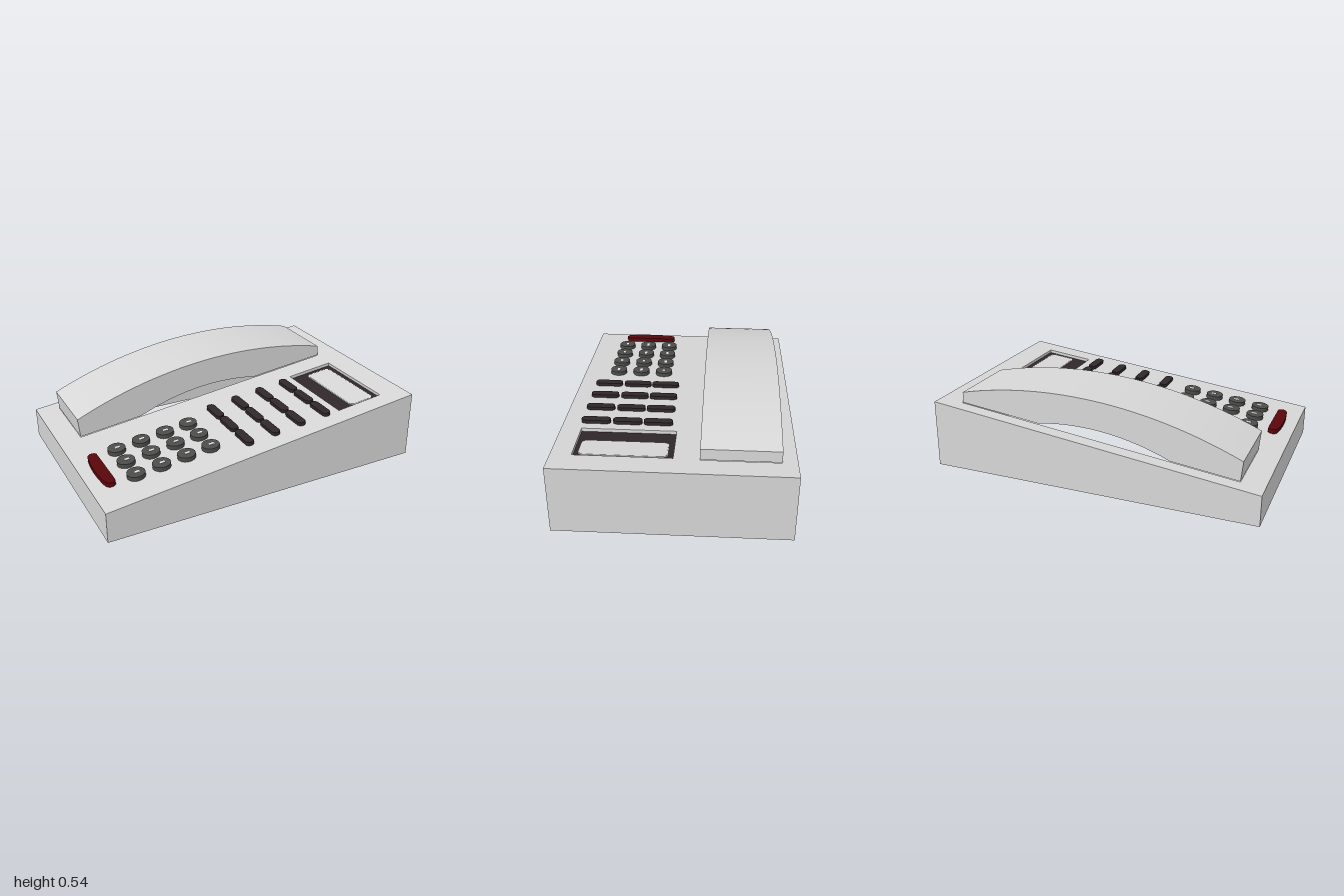
import * as THREE from 'three';
import { toCreasedNormals } from 'three/addons/utils/BufferGeometryUtils.js';

const mat = (name, color, side = THREE.FrontSide) => {
  const m = new THREE.MeshStandardMaterial({ color, side });
  m.name = name;
  return m;
};

// height of the sloping top surface
const SLOPE = 0.1165;
const surface = (x) => 0.2995 + SLOPE * x;

// rounded rectangle centred on the origin
function roundedRect(w, d, r) {
  const x = w / 2, y = d / 2, s = new THREE.Shape();
  s.absarc(x - r, y - r, r, 0, Math.PI / 2);
  s.absarc(-x + r, y - r, r, Math.PI / 2, Math.PI);
  s.absarc(-x + r, -y + r, r, Math.PI, Math.PI * 1.5);
  s.absarc(x - r, -y + r, r, Math.PI * 1.5, Math.PI * 2);
  s.closePath();
  return s;
}

// outline drawn in plan, raised from y = bottom to y = top
function raised(shape, bottom, top) {
  const g = new THREE.ExtrudeGeometry(shape, { depth: top - bottom, bevelEnabled: false, curveSegments: 10 });
  g.rotateX(-Math.PI / 2).translate(0, bottom, 0);
  return toCreasedNormals(g, 0.6);
}

// four upright walls, open above and below
function openBox(w, h, d) {
  const g = new THREE.CylinderGeometry(Math.SQRT1_2, Math.SQRT1_2, 1, 4, 1, true);
  return g.rotateY(Math.PI / 4).scale(w, h, d).toNonIndexed();
}

// corners of a plan rectangle
const corners = (x0, x1, z0, z1) =>
  [[x0, -z0], [x1, -z0], [x1, -z1], [x0, -z1]].map(([x, y]) => new THREE.Vector2(x, y));

// plan shape laid on the sloping top
function sloped(shape) {
  const g = new THREE.ShapeGeometry(shape).rotateX(-Math.PI / 2);
  const p = g.attributes.position;
  for (let i = 0; i < p.count; i++) p.setY(i, surface(p.getX(i)));
  g.computeVertexNormals();
  return g;
}

export function createModel() {
  const shell = mat('shell grey', 0xd7d7d7, THREE.DoubleSide);
  const under = mat('underside grey', 0xd7d7d7, THREE.BackSide);
  const keyGrey = mat('key grey', 0x4c4c4b);
  const dark = mat('dark plum', 0x30272a, THREE.DoubleSide);
  const red = mat('dark red', 0x59060a);
  const pale = mat('white', 0xffffff);

  const model = new THREE.Group();
  model.name = 'deskTelephone';
  const add = (name, geo, material, parent = model) => {
    const mesh = new THREE.Mesh(geo, material);
    mesh.name = name;
    parent.add(mesh);
  };

  // base walls, cut off by the sloping top
  const walls = openBox(2, 1, 1.324);
  const p = walls.attributes.position;
  for (let i = 0; i < p.count; i++) {
    if (p.getY(i) > 0) {
      const x = p.getX(i) > 0 ? 0.992 : -1;
      p.setXYZ(i, x, surface(x), p.getZ(i));
    } else p.setY(i, 0);
  }
  walls.computeVertexNormals();
  add('baseWalls', walls, shell);

  // base top with openings for the display and the handset
  const displayArea = [0.535, 0.84, 0, 0.545];
  const handsetArea = [-0.864, 0.849, -0.578, -0.144];
  const top = new THREE.Shape(corners(-1, 0.992, -0.662, 0.662));
  top.holes.push(new THREE.Path(corners(...displayArea)), new THREE.Path(corners(...handsetArea)));
  add('baseTop', sloped(top), shell);
  // underside of the handset rest, facing down only
  add('handsetRest', sloped(new THREE.Shape(corners(...handsetArea))), under);

  // tilted group lying on the top surface
  const onTop = (name, x, z, tilt = Math.atan(SLOPE)) => {
    const g = new THREE.Group();
    g.name = name;
    g.position.set(x, surface(x), z);
    g.rotation.z = tilt;
    model.add(g);
    return g;
  };

  // sunken display: walls, dark floor and a white-edged window
  const [x0, x1, z0, z1] = displayArea, depth = 0.02;
  const display = onTop('display', (x0 + x1) / 2, (z0 + z1) / 2);
  const w = (x1 - x0) * Math.hypot(1, SLOPE), d = z1 - z0;
  const rim = openBox(w, depth, d).translate(0, -depth / 2, 0);
  rim.computeVertexNormals();
  add('displayRim', rim, shell, display);
  add('displayFloor', new THREE.PlaneGeometry(w, d).rotateX(-Math.PI / 2).translate(0, -depth, 0), dark, display);
  add('windowEdge', raised(roundedRect(0.166, 0.49, 0.032), -0.019, -0.016).translate(0.038, 0, 0.004), pale, display);
  add('displayWindow', raised(roundedRect(0.156, 0.48, 0.028), -0.017, -0.0145).translate(0.038, 0, 0.004), shell, display);

  // round number keys, four across and three deep
  const keyGeo = new THREE.CylinderGeometry(0.053, 0.053, 0.027, 28).translate(0, 0.0125, 0);
  const markGeo = new THREE.BoxGeometry(0.03, 0.002, 0.016).translate(0.006, 0.0265, 0);
  for (const x of [-0.738, -0.584, -0.43, -0.277])
    for (const z of [0.14, 0.29, 0.44]) {
      const key = onTop('numberKey', x, z, 0.08);
      add('keyCap', keyGeo, keyGrey, key);
      add('keyMark', markGeo, pale, key);
    }

  // slim function buttons
  const slimGeo = raised(roundedRect(0.052, 0.17, 0.025), -0.0005, 0.021);
  for (const x of [-0.076, 0.098, 0.273, 0.448])
    for (const z of [0.112, 0.29, 0.474]) add('functionButton', slimGeo, dark, onTop('functionKey', x, z, 0.08));

  // long red key, bowed on its outer side
  const bow = new THREE.Shape();
  bow.moveTo(0.035, -0.15);
  bow.lineTo(0.035, 0.15);
  bow.quadraticCurveTo(0.03, 0.172, 0.005, 0.172);
  bow.quadraticCurveTo(-0.02, 0.168, -0.026, 0.13);
  bow.quadraticCurveTo(-0.044, 0, -0.026, -0.13);
  bow.quadraticCurveTo(-0.02, -0.168, 0.005, -0.172);
  bow.quadraticCurveTo(0.03, -0.172, 0.035, -0.15);
  add('redButton', raised(bow, -0.0005, 0.028), red, onTop('redKey', -0.892, 0.285, 0.08));

  // arched handset resting on the top at both ends
  const arc = (cx, cy, r, x0, x1, n) => Array.from({ length: n + 1 }, (_, i) => {
    const x = x0 + (x1 - x0) * i / n;
    return new THREE.Vector2(x, cy + Math.sqrt(r * r - (x - cx) ** 2));
  });
  const foot = (x) => new THREE.Vector2(x, surface(x) + 0.003);
  const profile = new THREE.Shape([
    ...arc(0.2, -2.135, 2.68, -0.875, 0.845, 28),
    foot(0.849),
    ...arc(0.1, -1.065, 1.43, 0.345, -0.466, 24),
    foot(-0.864),
  ]);
  const handset = new THREE.ExtrudeGeometry(profile, { depth: 0.434, bevelEnabled: false });
  add('handset', toCreasedNormals(handset.translate(0, 0, -0.578), 0.15), shell);

  return model;
}
